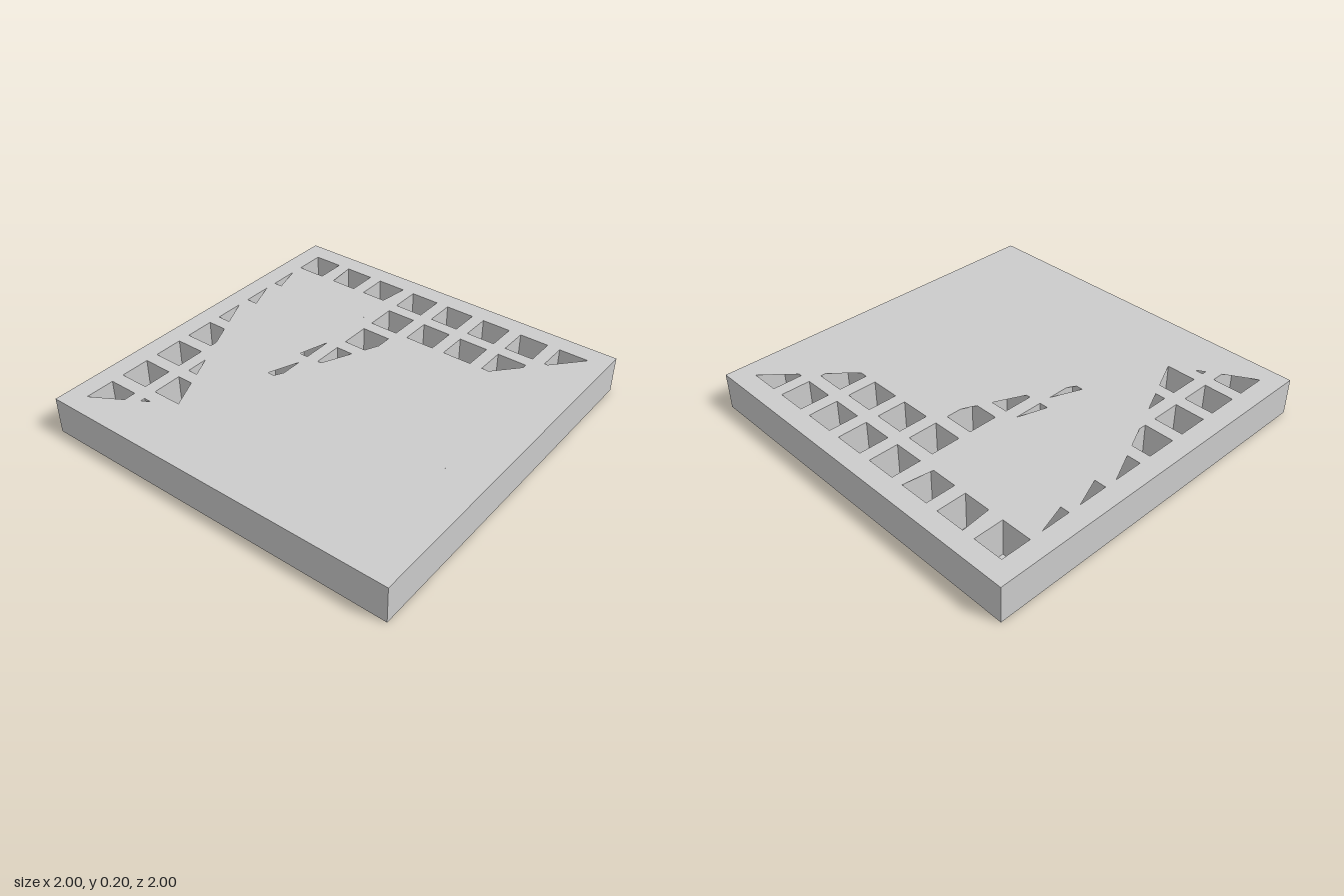
import * as THREE from 'three';
import { mergeGeometries } from 'three/addons/utils/BufferGeometryUtils.js';

const HEIGHT = 0.2, CELLS = 8, START = -0.893, PITCH = 0.232, CELL = 0.162;

// Open regions in [x, z]; each sheet is pierced where a region overlaps a grid cell
const TOP_REGIONS = [
  [[-0.893, -0.893], [0.197, -0.893], [-0.661, -0.499]],
  [[0.267, -0.893], [0.429, -0.893], [0.267, -0.83]],
  [[0.499, -0.893], [0.661, -0.893], [0.499, -0.845]],
  [[0.731, -0.893], [0.893, -0.893], [0.893, -0.731], [0.731, -0.731]],
  [[0.731, -0.645], [0.893, -0.661], [0.893, -0.267], [0.731, -0.289]],
  [[-0.197, -0.33], [-0.035, -0.267], [-0.15, -0.267], [-0.197, -0.293]],
  [[0.035, -0.315], [0.197, -0.267], [0.035, -0.267]],
  [[-0.02, -0.2], [0.893, -0.2], [0.893, 0.893], [0.499, 0.54], [0.499, 0.035]],
];
const BOTTOM_REGIONS = [
  [[0.731, 0.26], [0.893, 0.26], [0.893, 0.893], [-0.661, 0.893],
    [-0.37, 0.731], [0.23, 0.731], [0.11, 0.53]],
];

const cellStart = i => START + i * PITCH;

// Run a callback for every grid cell, given its low x and z corner
function eachCell(callback) {
  for (let col = 0; col < CELLS; col++) {
    for (let row = 0; row < CELLS; row++) callback(cellStart(col), cellStart(row));
  }
}

// Keep the side of a polygon where sign * (coordinate - limit) is positive
function clip(points, axis, limit, sign) {
  const kept = [];
  points.forEach((p, i) => {
    const q = points[(i + 1) % points.length];
    const dp = sign * (p.getComponent(axis) - limit);
    const dq = sign * (q.getComponent(axis) - limit);
    if (dp >= 0) kept.push(p);
    if (dp * dq < 0) kept.push(p.clone().lerp(q, dp / (dp - dq)));
  });
  return kept;
}

// Flat sheet with openings; dir is +1 facing up, -1 facing down
function sheet(regions, dir) {
  const shape = new THREE.Shape()
    .moveTo(-1, -1).lineTo(1, -1).lineTo(1, 1).lineTo(-1, 1).closePath();
  eachCell((x, z) => {
    for (const region of regions) {
      let hole = region.map(([px, pz]) => new THREE.Vector2(px, pz));
      hole = clip(clip(hole, 1, z, 1), 1, z + CELL, -1);
      hole = clip(clip(hole, 0, x, 1), 0, x + CELL, -1);
      if (hole.length < 3 || Math.abs(THREE.ShapeUtils.area(hole)) < 1e-4) continue;
      shape.holes.push(new THREE.Path(hole.map(p => new THREE.Vector2(p.x, -dir * p.y))));
    }
  });
  return new THREE.ShapeGeometry(shape).rotateX(-dir * Math.PI / 2);
}

// Four upright walls around a square, facing outward (dir 1) or inward (dir -1)
function walls(x, z, size, dir) {
  const sides = [];
  for (let i = 0; i < 4; i++) {
    sides.push(new THREE.PlaneGeometry(size, HEIGHT)
      .translate(0, HEIGHT / 2, -dir * -size / 2)
      .rotateY(i * Math.PI / 2)
      .translate(x, 0, z));
  }
  return mergeGeometries(sides);
}

export function createModel() {
  const group = new THREE.Group();
  group.name = 'perforatedSlab';
  const material = new THREE.MeshStandardMaterial({ color: 0xcccccc, side: THREE.DoubleSide });
  const add = (name, geometry) => {
    const mesh = new THREE.Mesh(geometry, material);
    mesh.name = name;
    group.add(mesh);
    return mesh;
  };

  // Outer shell
  add('topSheet', sheet(TOP_REGIONS, 1)).position.y = HEIGHT;
  add('bottomSheet', sheet(BOTTOM_REGIONS, -1));
  add('outerSides', walls(0, 0, 2, 1));

  // Grid of square wells between the sheets
  const wells = [];
  eachCell((x, z) => wells.push(walls(x + CELL / 2, z + CELL / 2, CELL, -1)));
  add('wellWalls', mergeGeometries(wells));
  return group;
}
